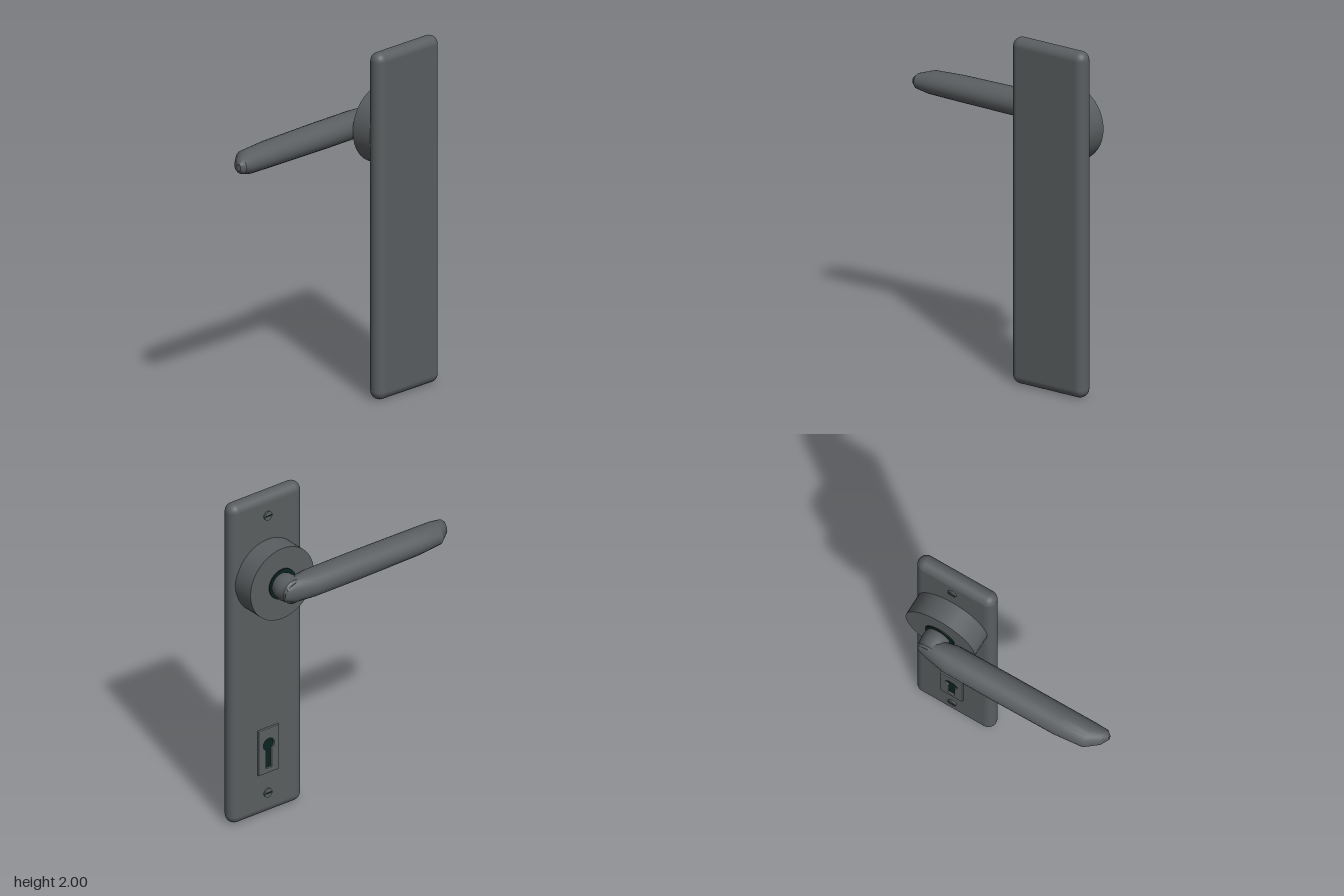
import * as THREE from 'three';
import { RoundedBoxGeometry } from 'three/addons/geometries/RoundedBoxGeometry.js';
import { toCreasedNormals } from 'three/addons/utils/BufferGeometryUtils.js';

const CX = 0.425, HUB_Y = 1.505;

// Skin of ellipses along x; each section is [x, zMin, zMax, halfHeight]
function loft(sections, sides = 24) {
  const pos = [], idx = [];
  for (const [x, z0, z1, ry] of sections) {
    for (let j = 0; j < sides; j++) {
      const a = (j / sides) * Math.PI * 2;
      pos.push(x, ry * Math.cos(a), (z0 + z1) / 2 + ((z1 - z0) / 2) * Math.sin(a));
    }
  }
  const last = (sections.length - 1) * sides;
  for (let i = 0; i < last; i += sides) {
    for (let j = 0; j < sides; j++) {
      const k = (j + 1) % sides;
      const a = i + j, b = a + sides, c = i + sides + k, d = i + k;
      idx.push(a, d, c, a, c, b);
    }
  }
  for (let j = 1; j < sides - 1; j++) {
    idx.push(0, j + 1, j, last, last + j, last + j + 1);
  }
  const g = new THREE.BufferGeometry();
  g.setAttribute('position', new THREE.Float32BufferAttribute(pos, 3));
  g.setIndex(idx);
  return toCreasedNormals(g, 0.5);
}

function keyholePath(path) {
  const r = 0.043, w = 0.025, a = Math.asin(w / r);
  path.moveTo(-w, -0.115);
  path.lineTo(w, -0.115);
  path.absarc(0, 0.037, r, -Math.PI / 2 + a, Math.PI * 1.5 - a, false);
  path.closePath();
  return path;
}

export function createModel() {
  const model = new THREE.Group();
  const steel = new THREE.MeshStandardMaterial({ color: 0x5a5e60 });
  steel.name = 'dark steel';
  const shadow = new THREE.MeshStandardMaterial({ color: 0x0b2320 });
  shadow.name = 'blackened green';

  function add(name, geometry, material, x, y, z, parent = model) {
    const mesh = new THREE.Mesh(geometry, material);
    mesh.name = name;
    mesh.position.set(x, y, z);
    parent.add(mesh);
    return mesh;
  }
  // Disc or drum with its axis along z
  function drum(name, r, z0, z1, material, x, y, parent) {
    const g = new THREE.CylinderGeometry(r, r, Math.abs(z1 - z0), 40).rotateX(Math.PI / 2);
    return add(name, g, material, x, y, (z0 + z1) / 2, parent);
  }

  // Back plate
  add('plate', new RoundedBoxGeometry(0.495, 2, 0.1, 5, 0.0499), steel, 0.4225, 1, 0.15);

  // Round hub, dark bearing ring and neck
  drum('rosette', 0.22, -0.03, 0.11, steel, CX, HUB_Y);
  drum('bearingRing', 0.092, -0.037, -0.028, shadow, CX, HUB_Y);
  const neckProfile = [[0, 0.03], [0.068, 0.03], [0.075, 0.045], [0.079, 0.09], [0.073, 0.12],
    [0.073, 0.142], [0.06, 0.155], [0, 0.16]].map(([r, h]) => new THREE.Vector2(r, h));
  const neck = new THREE.LatheGeometry(neckProfile, 32).rotateX(-Math.PI / 2);
  add('neck', toCreasedNormals(neck, 0.6), steel, 0.43, HUB_Y, 0);

  // Lever grip, from the blunt tip to the bend over the neck
  add('leverGrip', loft([
    [-0.675, -0.075, -0.05, 0.02],
    [-0.65, -0.12, -0.027, 0.044],
    [-0.575, -0.18, -0.025, 0.066],
    [-0.4, -0.198, -0.026, 0.072],
    [0, -0.202, -0.028, 0.077],
    [0.3, -0.202, -0.032, 0.077],
    [0.38, -0.187, -0.05, 0.075],
    [0.44, -0.175, -0.085, 0.068],
    [0.485, -0.163, -0.115, 0.045],
    [0.497, -0.152, -0.13, 0.02],
  ]), steel, 0, HUB_Y, 0);

  // Keyhole cover with a bevelled rim, and the dark hole behind it
  const cover = new THREE.Shape();
  cover.moveTo(-0.064, -0.134);
  cover.lineTo(0.064, -0.134);
  cover.lineTo(0.064, 0.134);
  cover.lineTo(-0.064, 0.134);
  cover.closePath();
  cover.holes.push(keyholePath(new THREE.Path()));
  const coverGeometry = new THREE.ExtrudeGeometry(cover, {
    depth: 0.008, bevelThickness: 0.006, bevelSize: 0.006, bevelSegments: 2, curveSegments: 16,
  }).rotateY(Math.PI);
  add('keyholeCover', coverGeometry, steel, CX, 0.405, 0.1);
  const hole = new THREE.ShapeGeometry(keyholePath(new THREE.Shape()), 16).rotateY(Math.PI);
  add('keyhole', hole, shadow, CX, 0.405, 0.097);

  // Slotted screws at both ends
  for (const y of [1.875, 0.135]) {
    const screw = new THREE.Group();
    screw.name = 'screw';
    screw.position.set(CX, y, 0);
    model.add(screw);
    drum('screwHead', 0.027, 0.091, 0.104, steel, 0, 0, screw);
    add('screwSlot', new THREE.BoxGeometry(0.046, 0.008, 0.002), shadow, 0, 0, 0.0905, screw);
  }
  return model;
}
